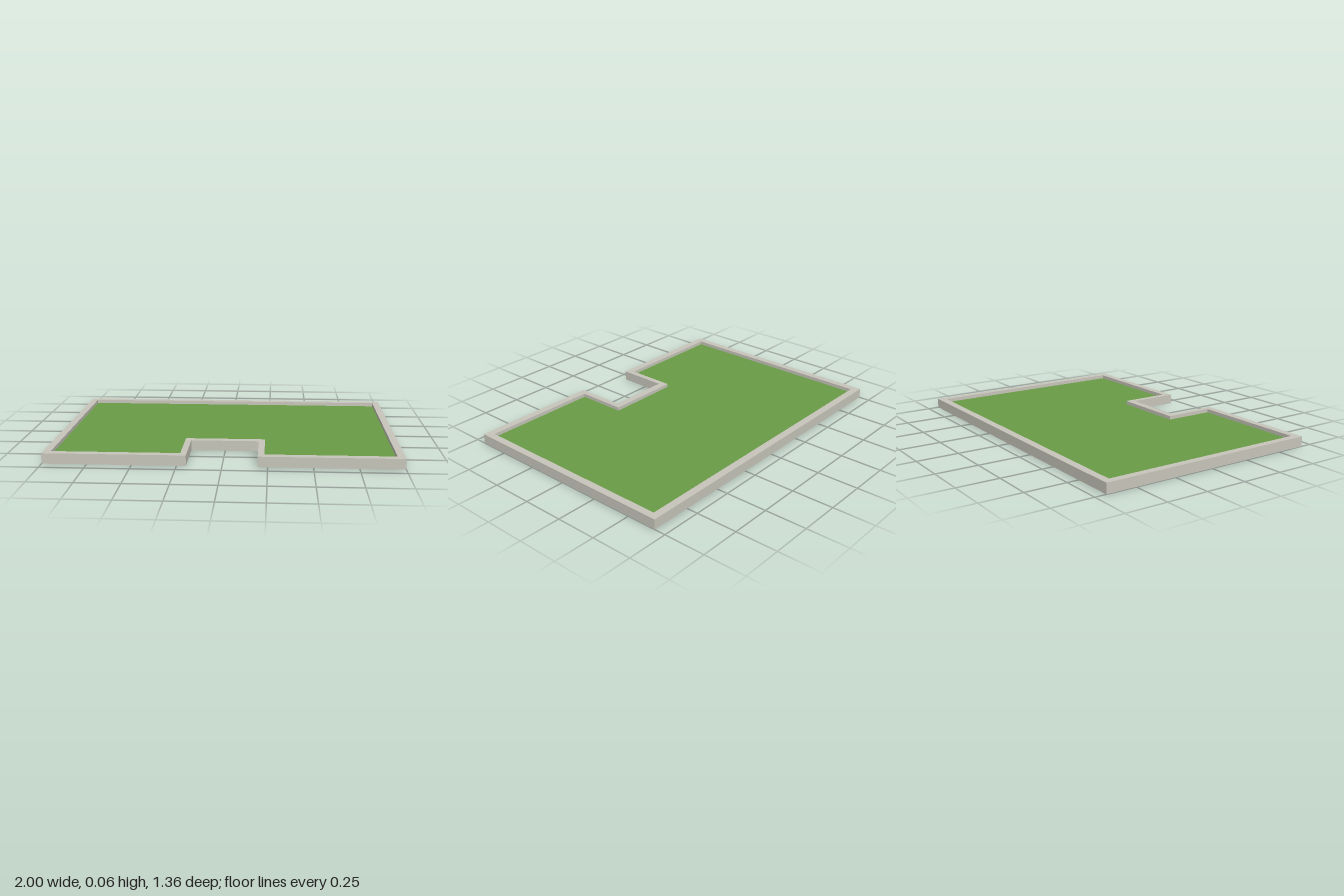
import * as THREE from 'three';

const HEIGHT = 0.06, LAWN_Y = 0.038;

// U-shaped plan as [x, z] points: plot corners plus the entrance notch at the front
const plan = (x, z, nl, nr, nz) => [
  [-x, -z], [-x, z], [nl, z], [nl, nz], [nr, nz], [nr, z], [x, z], [x, -z],
];
const outer = plan(1, 0.682, -0.198, 0.195, 0.374);
const inner = plan(0.957, 0.637, -0.233, 0.231, 0.329);

// Shape y becomes z after turning flat; sign picks the turning direction
const points = (pts, sign) => pts.map(([x, z]) => new THREE.Vector2(x, sign * z));

export function createModel() {
  const stone = new THREE.MeshStandardMaterial({ color: 0xc8c6bb });
  stone.name = 'stone';
  const grass = new THREE.MeshStandardMaterial({ color: 0x689c46 });
  grass.name = 'grass';

  const group = new THREE.Group();
  group.name = 'lawnPlot';
  const add = (name, geometry, material) => {
    const mesh = new THREE.Mesh(geometry, material);
    mesh.name = name;
    group.add(mesh);
    return mesh;
  };

  // Stone kerb running round the whole outline
  const ring = new THREE.Shape(points(outer, -1));
  ring.holes.push(new THREE.Path(points(inner, -1)));
  const kerb = new THREE.ExtrudeGeometry(ring, { depth: HEIGHT, bevelEnabled: false });
  add('kerb', kerb.rotateX(-Math.PI / 2), stone);

  // Sunken lawn inside the kerb
  const lawn = new THREE.ShapeGeometry(new THREE.Shape(points(inner, -1)));
  add('lawn', lawn.rotateX(-Math.PI / 2), grass).position.y = LAWN_Y;

  // Underside closing the kerb, facing down
  const base = new THREE.ShapeGeometry(new THREE.Shape(points(inner, 1)));
  add('underside', base.rotateX(Math.PI / 2), stone);

  return group;
}
